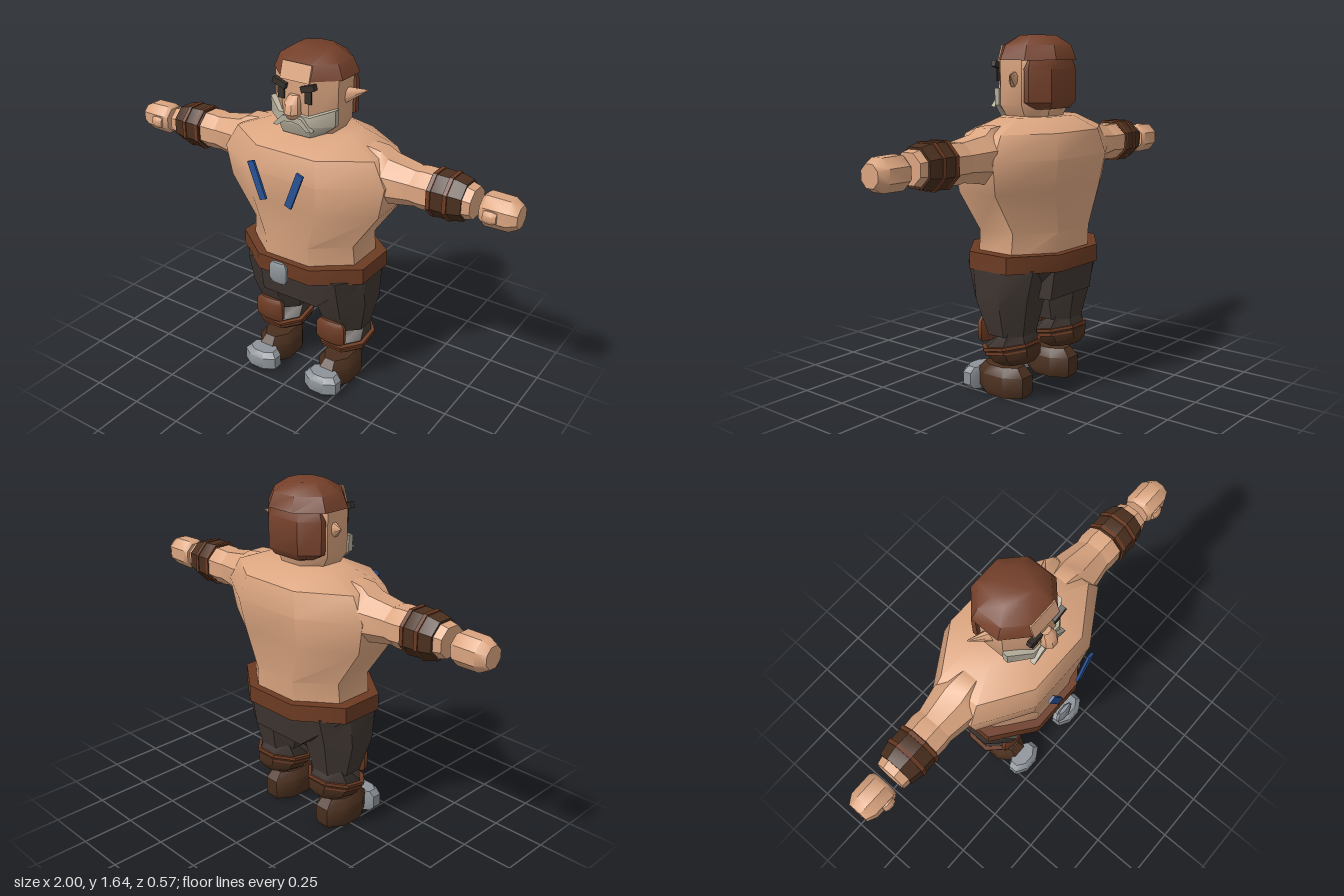
import * as THREE from 'three';
import { toCreasedNormals } from 'three/addons/utils/BufferGeometryUtils.js';

const mat = (name, color) => {
  const m = new THREE.MeshStandardMaterial({ color });
  m.name = name;
  return m;
};

// Eight-sided section: height, half width, front z, back z, then optional corner positions.
function octagon([y, hx, zf, zb, cx = hx * 0.42, sf, sb]) {
  const mid = (zf + zb) / 2, half = (zf - zb) / 2;
  sf ??= mid + half * 0.42;
  sb ??= mid - half * 0.42;
  return [[cx, y, zf], [hx, y, sf], [hx, y, sb], [cx, y, zb],
    [-cx, y, zb], [-hx, y, sb], [-hx, y, sf], [-cx, y, zf]];
}

// Closed solid through a stack of octagons, bottom to top; edit may move single points.
function loft(rows, edit) {
  const pts = rows.flatMap(octagon);
  if (edit) pts.forEach(edit);
  const idx = [], n = 8, last = (rows.length - 1) * n;
  for (let r = 0; r < rows.length - 1; r++) {
    for (let i = 0; i < n; i++) {
      const a = r * n + i, b = r * n + (i + 1) % n;
      idx.push(a, b, b + n, a, b + n, a + n);
    }
  }
  for (let i = 1; i < n - 1; i++) {
    idx.push(0, i + 1, i, last, last + i, last + i + 1);
  }
  const g = new THREE.BufferGeometry();
  g.setAttribute('position', new THREE.Float32BufferAttribute(pts.flat(), 3));
  g.setIndex(idx);
  return toCreasedNormals(g, 0.7);
}

export function createModel() {
  const model = new THREE.Group();
  model.name = 'stockyFighter';
  const skin = mat('skin', 0xdba580), hair = mat('hair', 0x74402a), leather = mat('leather', 0x6c3b23);
  const darkLeather = mat('darkLeather', 0x4a2f1e), cloth = mat('trouserCloth', 0x3f3631);
  const beardGrey = mat('beardGrey', 0xb4ad9b), steel = mat('steel', 0x8d9399);
  const blue = mat('bluePaint', 0x2a5296), dark = mat('browDark', 0x37302c);

  const add = (name, geo, material, x = 0, y = 0, z = 0, parent = model) => {
    const m = new THREE.Mesh(geo, material);
    m.name = name;
    m.position.set(x, y, z);
    parent.add(m);
    return m;
  };

  // Torso, belt and hips
  add('torso', loft([
    [0.64, 0.285, 0.2, -0.235], [0.78, 0.273, 0.21, -0.243], [0.965, 0.4, 0.225, -0.262],
    [1.11, 0.428, 0.243, -0.287], [1.22, 0.365, 0.212, -0.262], [1.282, 0.21, 0.09, -0.17],
  ]), skin);
  add('belt', loft([[0.61, 0.335, 0.235, -0.272], [0.688, 0.335, 0.235, -0.272]]), leather);
  add('beltBuckle', loft([
    [0.597, 0.034, 0.28, 0.264], [0.617, 0.046, 0.288, 0.255],
    [0.683, 0.046, 0.288, 0.255], [0.703, 0.034, 0.28, 0.264],
  ]), steel);
  add('hips', loft([[0.475, 0.17, 0.19, -0.228, 0.15], [0.62, 0.325, 0.212, -0.25, 0.15]]), cloth);

  // Head
  add('head', loft([
    [1.26, 0.12, 0.1, -0.13], [1.33, 0.162, 0.13, -0.155],
    [1.53, 0.165, 0.13, -0.16], [1.56, 0.14, 0.1, -0.14],
  ]), skin);
  add('hairCap', loft([
    [1.528, 0.178, 0.13, -0.196], [1.593, 0.15, 0.11, -0.175], [1.637, 0.085, 0.036, -0.11],
  ]), hair);
  add('forehead', new THREE.BoxGeometry(0.15, 0.078, 0.009), skin, 0, 1.557, 0.122).rotation.x = -0.3;
  add('backHair', loft([
    [1.315, 0.11, -0.1, -0.163, 0.07, -0.1, -0.11], [1.345, 0.165, -0.09, -0.182, 0.09, -0.09, -0.115],
    [1.49, 0.168, -0.09, -0.182, 0.09, -0.09, -0.115], [1.53, 0.15, -0.1, -0.17, 0.08, -0.1, -0.11],
  ]), hair);
  add('nose', loft([
    [1.36, 0.024, 0.17, 0.12], [1.385, 0.038, 0.187, 0.12], [1.43, 0.034, 0.18, 0.12], [1.462, 0.022, 0.15, 0.12],
  ]), skin);

  // Beard dips in the middle of its upper edge
  add('beard', loft([
    [1.275, 0.1, 0.125, 0.05, 0.07, 0.07, 0.05], [1.33, 0.168, 0.146, 0.05, 0.08, 0.075, 0.05],
    [1.405, 0.17, 0.14, 0.05, 0.08, 0.075, 0.05],
  ], (p) => { if (p[1] > 1.4 && p[2] > 0.12) p[1] = 1.372; }), beardGrey);
  const tache = new THREE.Shape();
  [[0, 1.375], [0.05, 1.365], [0.1, 1.315], [0.075, 1.315], [0.04, 1.34], [0, 1.345],
    [-0.04, 1.34], [-0.075, 1.315], [-0.1, 1.315], [-0.05, 1.365]]
    .forEach(([x, y], i) => (i ? tache.lineTo(x, y) : tache.moveTo(x, y)));
  add('moustache', new THREE.ExtrudeGeometry(tache, { depth: 0.025, bevelEnabled: false }), beardGrey, 0, 0, 0.135);

  for (const s of [1, -1]) {
    const side = s > 0 ? 'left' : 'right';
    const sideways = (name, rows, material, parent, y = 1.115) => {
      const m = add(name, loft(rows), material, 0, y, 0, parent);
      m.rotation.z = -s * Math.PI / 2;
      return m;
    };

    // Face details
    add(side + 'Eye', new THREE.BoxGeometry(0.032, 0.055, 0.009), dark, s * 0.07, 1.46, 0.133);
    add(side + 'Brow', new THREE.BoxGeometry(0.07, 0.027, 0.025), dark, s * 0.073, 1.502, 0.135).rotation.z = s * 0.3;
    const ear = sideways(side + 'Ear', [[0, 0.034, 0, -0.05], [0.085, 0.003, -0.066, -0.074]], skin, model);
    ear.position.set(s * 0.155, 1.445, 0);
    ear.rotation.z = s * (0.25 - Math.PI / 2);

    // Chest stripe
    add(side + 'ChestStripe', new THREE.BoxGeometry(0.035, 0.18, 0.012), blue, s * 0.098, 1.092, 0.282)
      .rotation.z = -s * 0.365;

    // Arm
    const arm = new THREE.Group();
    arm.name = side + 'Arm';
    model.add(arm);
    sideways('upperArm', [
      [0.22, 0.125, 0.04, -0.09], [0.3, 0.137, 0.06, -0.11], [0.36, 0.13, 0.075, -0.125],
      [0.4, 0.104, 0.08, -0.135], [0.53, 0.083, 0.06, -0.11],
    ], skin, arm);
    sideways('forearm', [
      [0.51, 0.08, 0.06, -0.11], [0.56, 0.087, 0.065, -0.118],
      [0.72, 0.085, 0.06, -0.105], [0.803, 0.065, 0.053, -0.088],
    ], skin, arm);
    sideways('bracer', [
      [0.61, 0.09, 0.068, -0.112], [0.64, 0.097, 0.073, -0.117],
      [0.72, 0.094, 0.07, -0.115], [0.767, 0.083, 0.062, -0.105],
    ], darkLeather, arm);
    for (const x of [0.615, 0.69]) {
      sideways('bracerBand', [[x, 0.1, 0.077, -0.12], [x + 0.018, 0.1, 0.077, -0.12]], leather, arm);
    }
    sideways('fist', [
      [0.838, 0.058, 0.042, -0.075], [0.855, 0.07, 0.052, -0.086],
      [0.96, 0.068, 0.05, -0.085], [1, 0.047, 0.032, -0.062],
    ], skin, arm, 1.108);
    sideways('thumb', [
      [0.863, 0.022, 0.064, 0.03], [0.88, 0.028, 0.071, 0.03], [0.905, 0.028, 0.071, 0.03], [0.922, 0.022, 0.064, 0.03],
    ], skin, arm, 1.105);

    // Leg
    const leg = new THREE.Group();
    leg.name = side + 'Leg';
    leg.position.x = s * 0.178;
    model.add(leg);
    add('thigh', loft([
      [0.305, 0.113, 0.078, -0.13], [0.47, 0.153, 0.145, -0.165], [0.62, 0.153, 0.18, -0.2],
    ]), cloth, 0, 0, 0, leg);
    add('kneePad', loft([
      [0.24, 0.06, 0.115, 0.09], [0.26, 0.076, 0.127, 0.08], [0.34, 0.076, 0.127, 0.08], [0.362, 0.06, 0.115, 0.09],
    ]), leather, 0, 0, 0, leg);

    // Bent shin with tilted cuff
    const shin = new THREE.Group();
    shin.name = 'shin';
    shin.position.set(0, 0.225, -0.025);
    shin.rotation.x = 0.2;
    leg.add(shin);
    add('shinCloth', loft([[-0.02, 0.115, 0.11, -0.118], [0.03, 0.116, 0.11, -0.122], [0.085, 0.1, 0.0, -0.115]]),
      cloth, 0, 0, 0, shin);
    add('bootCuff', loft([[-0.07, 0.07, 0.05, -0.1], [-0.04, 0.11, 0.09, -0.125], [0.005, 0.126, 0.115, -0.13]]),
      darkLeather, 0, 0, 0, shin);
    for (const [y, r] of [[-0.008, 0.128], [0.012, 0.134]]) {
      add('cuffBand', loft([[y, r, r - 0.005, -r], [y + 0.014, r, r - 0.005, -r]]), leather, 0, 0, 0, shin);
    }

    // Boot
    add('boot', loft([
      [0, 0.078, 0.13, -0.108], [0.025, 0.088, 0.148, -0.118],
      [0.1, 0.088, 0.15, -0.118], [0.14, 0.064, 0.112, -0.08],
    ]), darkLeather, 0, 0, 0, leg);
    add('toeCap', loft([
      [0, 0.07, 0.212, 0.12], [0.022, 0.09, 0.23, 0.12], [0.08, 0.09, 0.23, 0.12], [0.105, 0.066, 0.21, 0.12],
    ]), steel, 0, 0, 0, leg);
  }
  return model;
}
